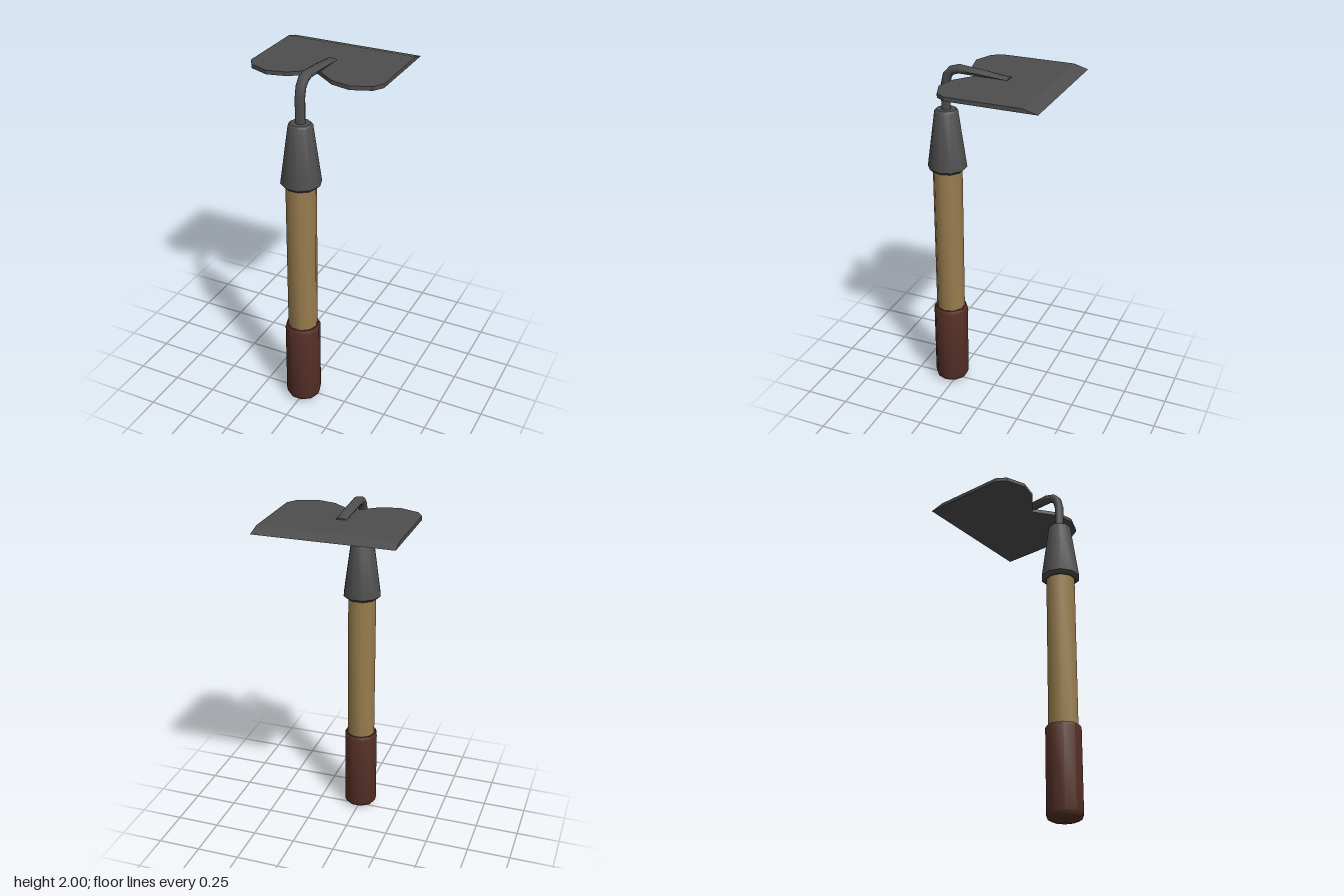
import * as THREE from 'three';
import { toCreasedNormals } from 'three/addons/utils/BufferGeometryUtils.js';

const HANDLE_Z = 0.28;
const SIDES = 10;

function material(name, color) {
  const m = new THREE.MeshStandardMaterial({ color });
  m.name = name;
  return m;
}

// Ten-sided turned part on the handle axis; profile is [radius, y] from bottom to top
function turned(name, profile, mat) {
  const geo = new THREE.LatheGeometry(profile.map(([r, y]) => new THREE.Vector2(r, y)), SIDES);
  geo.rotateY(Math.PI / SIDES);
  const mesh = new THREE.Mesh(toCreasedNormals(geo, 0.7), mat);
  mesh.name = name;
  mesh.position.z = HANDLE_Z;
  return mesh;
}

// Bent rod that flattens as it runs onto the blade; sections are [y, z, tilt, half width, half thickness]
function neckGeometry() {
  const sections = [
    [1.70, 0.28, 0, 0.027, 0.025],
    [1.88, 0.281, 0, 0.027, 0.025],
    [1.935, 0.268, 25, 0.028, 0.025],
    [1.964, 0.24, 55, 0.029, 0.025],
    [1.976, 0.2, 88, 0.029, 0.024],
    [1.968, 0.06, 92, 0.029, 0.018],
    [1.957, -0.085, 90, 0.028, 0.008],
  ];
  const pos = [], index = [];
  for (const [y, z, tilt, w, t] of sections) {
    const a = THREE.MathUtils.degToRad(tilt);
    for (let j = 0; j < SIDES; j++) {
      const u = (j / SIDES) * Math.PI * 2;
      const n = t * Math.sin(u);
      pos.push(w * Math.cos(u), y - n * Math.sin(a), z - n * Math.cos(a));
    }
  }
  const last = (sections.length - 1) * SIDES;
  for (let i = 0; i < last; i += SIDES) {
    for (let j = 0; j < SIDES; j++) {
      const k = (j + 1) % SIDES;
      index.push(i + j, i + k, i + SIDES + k, i + j, i + SIDES + k, i + SIDES + j);
    }
  }
  // End caps
  for (let j = 1; j < SIDES - 1; j++) {
    index.push(last, last + j, last + j + 1, 0, j + 1, j);
  }
  const geo = new THREE.BufferGeometry();
  geo.setAttribute('position', new THREE.Float32BufferAttribute(pos, 3));
  geo.setIndex(index);
  return toCreasedNormals(geo, 0.85);
}

// Flat plate with two rounded shoulders, a notch and a sharpened rear edge
function bladeGeometry() {
  const half = [[0.375, -0.385], [0.375, 0.107], [0.34, 0.163], [0.232, 0.205], [0.125, 0.18]];
  const mirrored = half.map(([x, z]) => [-x, z]).reverse();
  const outline = [...half, [0, 0.085], ...mirrored];
  const shape = new THREE.Shape(outline.map(([x, z]) => new THREE.Vector2(x, -z)));
  const thickness = 0.022;
  let geo = new THREE.ExtrudeGeometry(shape, { depth: thickness, bevelEnabled: false });
  geo.rotateX(-Math.PI / 2);
  // Pull the top of the rear edge forward to make the bevel
  const p = geo.attributes.position;
  for (let i = 0; i < p.count; i++) {
    if (p.getZ(i) < -0.38 && p.getY(i) > thickness / 2) p.setZ(i, -0.305);
  }
  if (geo.index) geo = geo.toNonIndexed();
  geo.computeVertexNormals();
  geo.translate(0, 1.935, 0);
  return geo;
}

export function createModel() {
  const steel = material('dark steel', 0x4e4e4e);
  const wood = material('wood', 0x997d4e);
  const rubber = material('brown grip', 0x542f26);

  const model = new THREE.Group();
  model.name = 'hoe';

  // Handle
  model.add(
    turned('grip', [[0, 0], [0.075, 0.013], [0.092, 0.024], [0.1, 0.045], [0.1, 0.497], [0.091, 0.515], [0.07, 0.515]], rubber),
    turned('shaft', [[0.083, 0.48], [0.083, 1.42]], wood),
    turned('ferrule', [[0.07, 1.392], [0.09, 1.392], [0.11, 1.41], [0.065, 1.735], [0.055, 1.745], [0, 1.745]], steel),
  );

  // Head
  const neck = new THREE.Mesh(neckGeometry(), steel);
  neck.name = 'neck';
  const blade = new THREE.Mesh(bladeGeometry(), steel);
  blade.name = 'blade';
  model.add(neck, blade);

  return model;
}
